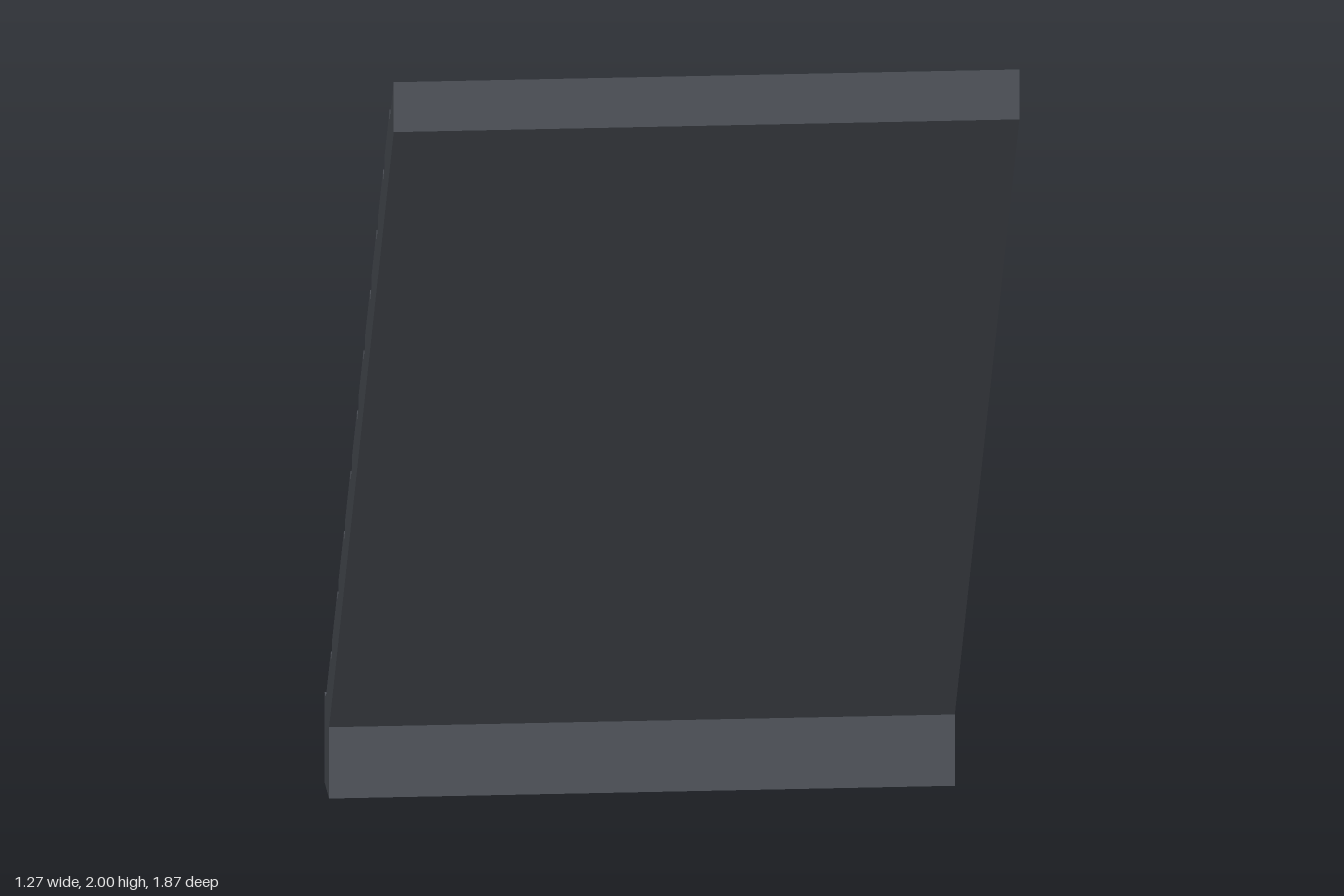
import * as THREE from 'three';

const WIDTH = 1.27;
const SLATS = 10;
const PITCH = 0.1765;   // spacing of the slats along z
const SLAT_RUN = 0.14;  // length of one slat along z
const TOP_Z = 0.823;    // z where the uppermost slat starts

// Heights of the two parallel 45 degree surfaces of the ramp's upper side
const bedY = (z) => z + 1.065;
const slatY = (z) => z + 1.088;

export function createModel() {
  const group = new THREE.Group();
  group.name = 'slattedRamp';

  // Side profile as [z, y], starting on the underside of the upper lip
  const profile = [[0.935, 1.895], [0.935, 2.0]];

  // Raised slats with narrow grooves between them
  for (let i = 0; i < SLATS; i++) {
    const z0 = TOP_Z - i * PITCH;
    profile.push([z0, bedY(z0)], [z0, slatY(z0)]);
    if (i < SLATS - 1) {
      const z1 = z0 - SLAT_RUN;
      profile.push([z1, slatY(z1)], [z1, bedY(z1)]);
    }
  }

  // Foot block at the bottom, then back up the plain underside
  profile.push([-0.898, 0.19], [-0.935, 0.19], [-0.935, 0], [-0.813, 0], [-0.813, 0.15]);

  const shape = new THREE.Shape(profile.map(([z, y]) => new THREE.Vector2(-z, y)));
  const geometry = new THREE.ExtrudeGeometry(shape, { depth: WIDTH, bevelEnabled: false });
  geometry.translate(0, 0, -WIDTH / 2);
  geometry.rotateY(Math.PI / 2);

  const ramp = new THREE.Mesh(
    geometry,
    new THREE.MeshStandardMaterial({ color: 0x50545b, flatShading: true })
  );
  ramp.name = 'rampPanel';
  group.add(ramp);
  return group;
}
